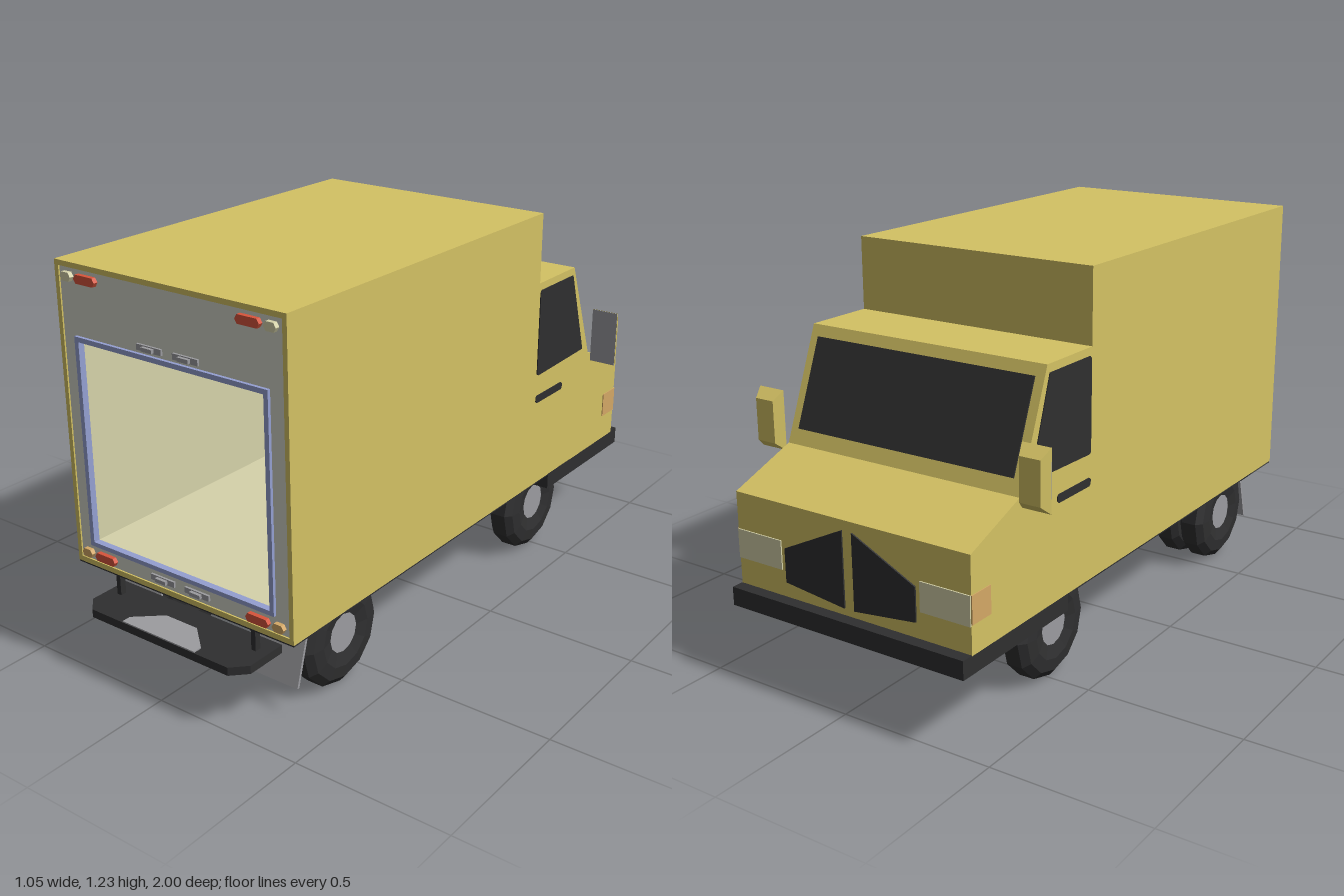
import * as THREE from 'three';

const paint = (color) => new THREE.MeshStandardMaterial({ color });

export function createModel() {
  const mats = {
    yellow: paint(0xd4c264), black: paint(0x2f2f30), grey: paint(0x9c9ca0),
    panel: paint(0xd2d4c9), blue: paint(0x95a0d2), lining: paint(0xd6d3aa),
    bulkhead: paint(0xaaaa88), red: paint(0xd8553c), amber: paint(0xd4a866)
  };
  for (const key in mats) mats[key].name = key;
  mats.tyre = new THREE.MeshStandardMaterial({ color: 0x2f2f30, flatShading: true });
  mats.tyre.name = 'tyre black';

  const model = new THREE.Group();
  model.name = 'deliveryTruck';

  function add(name, geometry, mat, x = 0, y = 0, z = 0) {
    const mesh = new THREE.Mesh(geometry, mats[mat]);
    mesh.name = name;
    mesh.position.set(x, y, z);
    model.add(mesh);
    return mesh;
  }
  // Box given by its limits on each axis
  function block(name, mat, x0, x1, y0, y1, z0, z1) {
    return add(name, new THREE.BoxGeometry(x1 - x0, y1 - y0, z1 - z0), mat,
      (x0 + x1) / 2, (y0 + y1) / 2, (z0 + z1) / 2);
  }
  const outline = (points) => new THREE.Shape(points.map(([a, b]) => new THREE.Vector2(a, b)));
  const extrude = (shape, depth) => new THREE.ExtrudeGeometry(shape, { depth, bevelEnabled: false });
  // Side profile (forward distance, height) extruded across the width
  function profile(name, mat, points, width, x = 0) {
    const geometry = extrude(outline(points), width);
    geometry.rotateY(Math.PI / 2).translate(-width / 2, 0, 0);
    return add(name, geometry, mat, x);
  }
  // Rectangular frame with a rectangular hole, extruded along z
  function frame(name, mat, [w, y0, y1], [hw, hy0, hy1], z0, z1) {
    const shape = outline([[-w, y0], [w, y0], [w, y1], [-w, y1]]);
    shape.holes.push(outline([[-hw, hy0], [-hw, hy1], [hw, hy1], [hw, hy0]]));
    return add(name, extrude(shape, z1 - z0), mat, 0, 0, z0);
  }

  // Cargo box, hollow behind the rear doorway
  const opening = [0.341, 0.369, 1.0];
  frame('cargoShell', 'yellow', [0.42, 0.285, 1.23], [0.405, 0.302, 1.214], -0.36, 0.9);
  block('cargoFrontWall', 'yellow', -0.42, 0.42, 0.285, 1.23, -0.37, -0.36);
  frame('rearPanel', 'panel', [0.405, 0.302, 1.214], [0.348, 0.362, 1.007], 0.885, 0.895);
  frame('doorFrame', 'blue', [0.356, 0.355, 1.015], opening, 0.884, 0.905);
  frame('cargoLining', 'lining', [0.35, 0.36, 1.009], opening, -0.35, 0.884);
  block('cargoBulkhead', 'bulkhead', -0.35, 0.35, 0.36, 1.009, -0.36, -0.35);

  // Cab body and glass
  profile('cab', 'yellow', [[0.37, 0.285], [0.96, 0.285], [0.96, 0.575],
    [0.735, 0.66], [0.6, 1], [0.37, 1]], 0.84);
  profile('windshield', 'black', [[0.613, 0.966], [0.717, 0.704],
    [0.722, 0.706], [0.618, 0.968]].reverse(), 0.78);

  // Chassis and bumpers
  block('underside', 'black', -0.419, 0.419, 0.28, 0.2845, -0.96, 0.899);
  block('frontBumper', 'black', -0.42, 0.42, 0.23, 0.286, -1, -0.49);
  block('bumperLip', 'black', -0.42, 0.42, 0.23, 0.288, -1, -0.961);
  profile('chassis', 'black', [[-0.66, 0.15], [0.745, 0.15], [0.83, 0.235],
    [0.83, 0.28], [-0.66, 0.28]], 0.32);
  const step = extrude(outline([[-0.31, -0.82], [-0.31, -0.955], [-0.265, -1],
    [0.265, -1], [0.31, -0.955], [0.31, -0.82]]), 0.026);
  add('rearStep', step.rotateX(-Math.PI / 2), 'black', 0, 0.184, 0);
  const tread = extrude(outline([[-0.14, -0.999], [0.14, -0.999], [0.14, -0.97],
    [0.06, -0.9], [-0.06, -0.9], [-0.14, -0.97]]), 0.004);
  add('stepTread', tread.rotateX(-Math.PI / 2), 'grey', 0, 0.21, 0);

  // Wheel: chamfered tyre with a flat hub on each side
  const tyreShape = [[0.062, -0.04], [0.105, -0.05], [0.145, -0.045], [0.168, -0.026],
    [0.168, 0.026], [0.145, 0.045], [0.105, 0.05], [0.062, 0.04]];
  const tyre = new THREE.LatheGeometry(tyreShape.map(([r, h]) => new THREE.Vector2(r, h)), 12);
  tyre.rotateZ(Math.PI / 2);
  const hub = new THREE.CylinderGeometry(0.064, 0.064, 0.076, 12).rotateZ(Math.PI / 2);
  function wheel(name, x, z) {
    add(name + 'Tyre', tyre, 'tyre', x, 0.168, z);
    add(name + 'Hub', hub, 'grey', x, 0.168, z);
  }

  // Mirror housing: box tapered towards the front
  const housing = new THREE.BoxGeometry(0.094, 0.188, 0.034);
  const p = housing.attributes.position;
  for (let i = 0; i < p.count; i++) {
    if (p.getZ(i) < 0) p.setXYZ(i, p.getX(i) * 0.72, p.getY(i) * 0.7, p.getZ(i));
  }
  housing.computeVertexNormals();

  // Hexagonal lamp on the rear panel
  function lamp(name, mat, x, y, w, h) {
    const c = h * 0.6;
    const shape = outline([[-w, 0], [-w + c, -h], [w - c, -h], [w, 0], [w - c, h], [-w + c, h]]);
    add(name, extrude(shape, 0.015), mat, x, y, 0.894);
  }

  for (const s of [-1, 1]) {
    wheel('frontWheel', s * 0.327, -0.485);
    wheel('rearOuterWheel', s * 0.327, 0.61);
    wheel('rearInnerWheel', s * 0.226, 0.61);
    profile('mudFlap', 'grey', [[-0.757, 0.282], [-0.813, 0.085], [-0.822, 0.085],
      [-0.766, 0.282]].reverse(), 0.175, s * 0.277);
    block('stepPost', 'black', s * 0.265 - 0.008, s * 0.265 + 0.008, 0.2, 0.285, 0.87, 0.89);

    // Cab side windows, handles and corner lamps
    profile('sideWindow', 'black', [[0.375, 0.687], [0.383, 0.682], [0.685, 0.69],
      [0.59, 0.975], [0.383, 0.975], [0.375, 0.967]], 0.006, s * 0.42);
    profile('doorHandle', 'black', [[0.375, 0.59], [0.382, 0.584], [0.543, 0.584],
      [0.55, 0.59], [0.55, 0.604], [0.543, 0.61], [0.382, 0.61], [0.375, 0.604]], 0.006, s * 0.42);
    profile('cornerLamp', 'amber', [[0.875, 0.375], [0.96, 0.375], [0.96, 0.46], [0.875, 0.46]],
      0.006, s * 0.42);

    // Headlights and grille halves
    block('headlight', 'lining', s * 0.335 - 0.084, s * 0.335 + 0.084, 0.37, 0.46, -0.964, -0.96);
    const grille = outline([[s * 0.018, 0.31], [s * 0.236, 0.335], [s * 0.236, 0.44], [s * 0.018, 0.545]]);
    add('grille', extrude(grille, 0.006), 'black', 0, 0, -0.965);

    // Mirrors
    add('mirrorHousing', housing, 'yellow', s * 0.476, 0.728, -0.753);
    block('mirrorGlass', 'grey', s * 0.476 - 0.046, s * 0.476 + 0.046, 0.635, 0.821, -0.737, -0.734);

    // Rear lamps and latches, above and below the doorway
    for (const y of [1.188, 0.325]) {
      lamp('rearLamp', 'red', s * 0.296, y, 0.041, 0.013);
      lamp('rearMarker', y > 1 ? 'lining' : 'amber', s * 0.371, y, 0.021, 0.013);
    }
    for (const y of [1.034, 0.327]) {
      const x = s * 0.067;
      block('latchPlate', 'grey', x - 0.046, x + 0.046, y - 0.009, y + 0.009, 0.894, 0.902);
      block('latchGrip', 'grey', x - 0.02, x + 0.02, y - 0.006, y + 0.006, 0.9, 0.912);
    }
  }
  return model;
}
